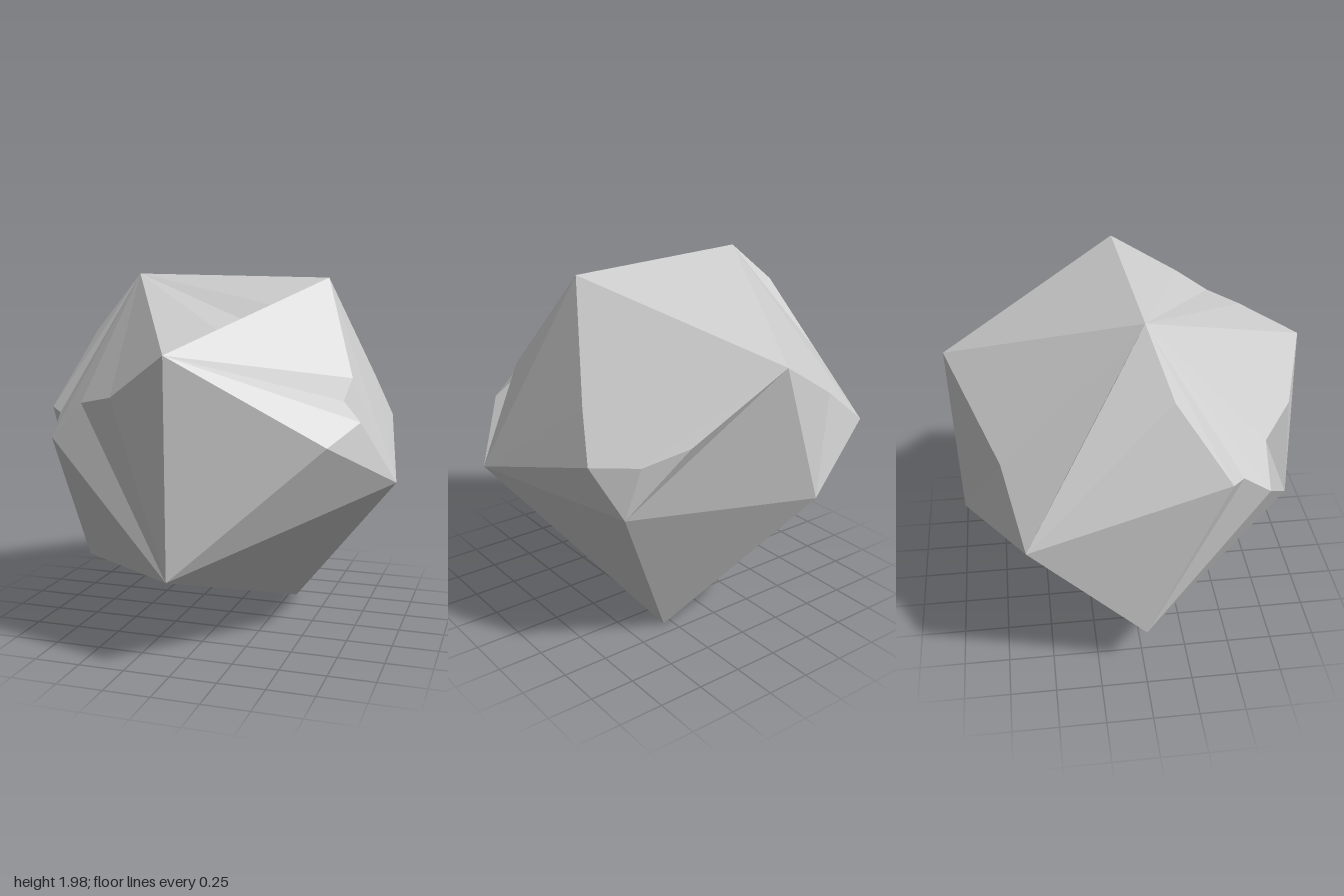
import * as THREE from 'three';

// Corners of the twenty-sided stone
const corners = {
  topRight: [-0.53, 1.98, 0.03], topLeft: [0.56, 1.96, -0.02],
  frontUpper: [-0.04, 1.6, 0.94], frontLower: [-0.02, 0.48, 0.98],
  backUpper: [-0.03, 1.6, -0.98], backLower: [-0.33, 0.8, -0.93],
  left: [1, 0.91, 0.28], backLeft: [0.74, 0.89, -0.69],
  right: [-0.9, 0.28, 0.01], backRight: [-1, 1, -0.61], base: [0.3, 0, -0.42],
};

// Extra points where edges and corners are chipped
const chips = {
  fl1: [0.71, 1.14, 0.66], fl2: [0.83, 1.24, 0.42], notch: [0.73, 1.34, 0.37], fl3: [0.76, 1.45, 0.29],
  top1: [0.15, 1.7, 0.65], top2: [0.28, 1.73, 0.49], top3: [0.35, 1.82, 0.33],
  fr1: [-0.37, 1.37, 0.83], fr2: [-0.62, 1.31, 0.65], fr3: [-0.8, 1.12, 0.65],
  fr4: [-0.82, 1.23, 0.5], fr5: [-0.9, 1.25, 0.43],
  side1: [-0.75, 1.66, 0.15], side2: [-0.69, 1.79, -0.12], side3: [-0.83, 1.42, -0.35],
  back1: [-0.62, 1.27, -0.71],
  bl1: [0.77, 1.39, -0.38], bl2: [0.85, 1.15, -0.54], bl3: [0.66, 1.16, -0.72], bl4: [0.45, 1.25, -0.84],
};

// Each fan lists a hub followed by the rim points around it
const fans = [
  'frontUpper fl1 fl2 notch fl3 topLeft top3 top2 top1',
  'topRight side1 fr5 fr4 fr3 fr2 fr1 frontUpper top1 top2 top3 topLeft backUpper back1 backRight side3 side2',
  'backRight right fr5 side1 topRight side2 side3',
  'right fr5 fr4 fr3',
  'frontLower left fl1 frontUpper fr1 fr2 fr3 right base left',
  'left fl1 fl2 notch fl3 topLeft bl1 bl2 backLeft base',
  'backLeft bl2 bl3 bl4 backUpper backLower base',
  'backUpper topLeft bl1 bl2 bl3 bl4',
  'backLower backUpper back1 backRight base',
  'base backRight right',
];

export function createModel() {
  const points = {};
  for (const [name, p] of Object.entries({ ...corners, ...chips })) points[name] = new THREE.Vector3(...p);

  const center = new THREE.Vector3(0, 1, 0);
  const triangles = [];
  for (const fan of fans) {
    const [hub, ...rim] = fan.split(' ').map((name) => points[name]);
    for (let i = 0; i + 1 < rim.length; i++) {
      const t = new THREE.Triangle(hub, rim[i], rim[i + 1]);
      const outward = t.getMidpoint(new THREE.Vector3()).sub(center);
      // Wind every facet so it faces away from the middle
      if (t.getNormal(new THREE.Vector3()).dot(outward) < 0) triangles.push(t.a, t.c, t.b);
      else triangles.push(t.a, t.b, t.c);
    }
  }

  const geometry = new THREE.BufferGeometry().setFromPoints(triangles);
  geometry.computeVertexNormals();
  const stone = new THREE.Mesh(geometry, new THREE.MeshStandardMaterial({ color: 0xcccccc, flatShading: true }));
  stone.name = 'chippedStone';

  const group = new THREE.Group();
  group.name = 'facetedStone';
  group.add(stone);
  return group;
}
